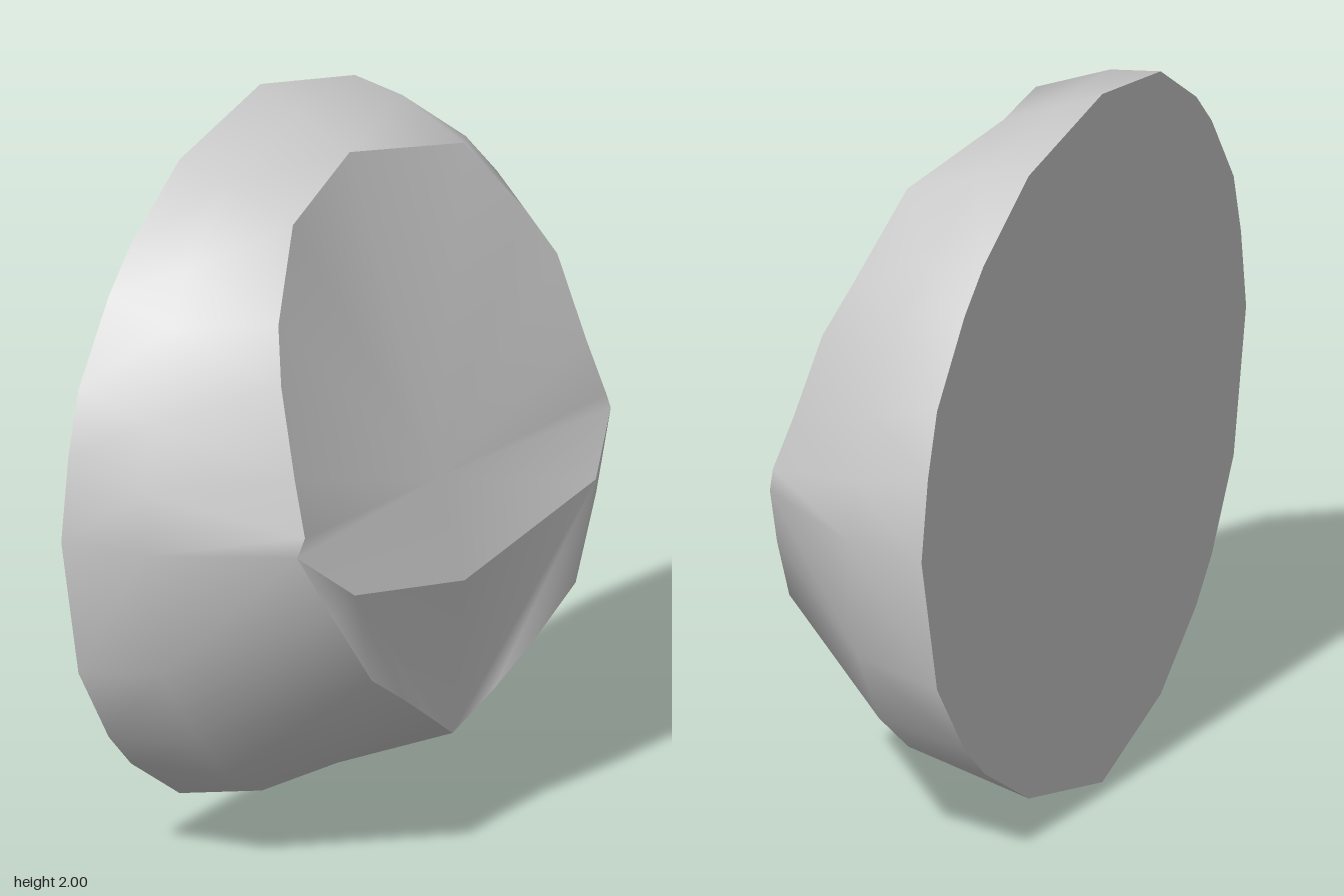
import * as THREE from 'three';
import { mergeVertices } from 'three/addons/utils/BufferGeometryUtils.js';

const grey = new THREE.MeshStandardMaterial({ color: 0xcccccc, side: THREE.DoubleSide });
grey.name = 'plain grey';

const mirror = ([x, y, z]) => [-x, y, z];

// Right half (top to bottom, both ends on x = 0) to a full clockwise loop
const fullLoop = (half) => [...half, ...half.slice(1, -1).reverse().map(mirror)];

// Smooth surface from a list of triangles
function surface(name, triangles) {
  const geometry = new THREE.BufferGeometry();
  geometry.setAttribute('position', new THREE.Float32BufferAttribute(triangles.flat(2), 3));
  const welded = mergeVertices(geometry, 1e-4);
  welded.computeVertexNormals();
  const mesh = new THREE.Mesh(welded, grey);
  mesh.name = name;
  return mesh;
}

// Fan facing +z over a clockwise run of points
function fan(centre, points, closed = true) {
  const triangles = [];
  const count = closed ? points.length : points.length - 1;
  for (let i = 0; i < count; i++) {
    triangles.push([centre, points[(i + 1) % points.length], points[i]]);
  }
  return triangles;
}

// Band facing outwards between two clockwise loops, back to front;
// the diagonals are mirrored on the left half
function band(back, front) {
  const triangles = [];
  back.forEach((a, i) => {
    const j = (i + 1) % back.length;
    const b = back[j], c = front[i], d = front[j];
    if (i < back.length / 2) triangles.push([a, c, b], [b, c, d]);
    else triangles.push([a, d, b], [a, c, d]);
  });
  return triangles;
}

export function createModel() {
  const group = new THREE.Group();
  group.name = 'bowlShape';

  // Back rim, folded slightly along its vertical centre line
  const rimHalf = [
    [0, 2], [0.4, 1.91], [0.645, 1.74], [0.75, 1.63], [0.9, 1.41], [0.95, 1.23],
    [0.985, 1], [0.9, 0.6], [0.75, 0.37], [0.64, 0.26], [0.4, 0.1], [0, 0],
  ].map(([x, y]) => [x, y, -0.355 + 0.056 * x]);

  // Middle of the shell, bulging except along the centre line
  const middleHalf = [
    [0, 1.947, -0.235], [0.405, 1.885, -0.18], [0.64, 1.705, -0.14], [0.74, 1.583, -0.11],
    [0.867, 1.35, -0.085], [0.92, 1.17, -0.07], [0.94, 1, -0.06], [0.87, 0.64, -0.055],
    [0.714, 0.398, -0.04], [0.567, 0.263, -0.055], [0.4, 0.167, -0.06], [0, 0.117, -0.1],
  ];

  // Front edge of the shell
  const frontHalf = [
    [0, 1.87, -0.06], [0.39, 1.8, 0.035], [0.56, 1.58, 0.11], [0.63, 1.44, 0.17],
    [0.665, 1.2, 0.24], [0.687, 1.05, 0.29], [0.715, 1, 0.285], [0.6, 0.8, 0.32],
    [0.465, 0.59, 0.35], [0.305, 0.485, 0.34], [0.14, 0.375, 0.315], [0, 0.285, 0.28],
  ];

  const rim = fullLoop(rimHalf);
  const middle = fullLoop(middleHalf);
  const front = fullLoop(frontHalf);
  group.add(surface('shell', [...band(rim, middle), ...band(middle, front)]));

  // Back plate
  group.add(surface('back', fan([0, 1, -0.355], [...rim].reverse())));

  // Sloping face above the ridge, hollow towards its corners
  const ridgeSide = [0.55, 0.86, 0.355];
  const ridgeMiddle = [0, 0.73, 0.32];
  const faceHalf = [...frontHalf.slice(0, 7), ridgeSide, ridgeMiddle];
  group.add(surface('hollowFace', fan([0, 1, 0.225], fullLoop(faceHalf))));

  // Lower lip below the ridge
  const lipHalf = [...frontHalf.slice(6), ridgeMiddle];
  group.add(surface('lowerLip', [
    ...fan(ridgeSide, lipHalf, false),
    ...fan(mirror(ridgeSide), [...lipHalf].reverse().map(mirror), false),
  ]));

  return group;
}
